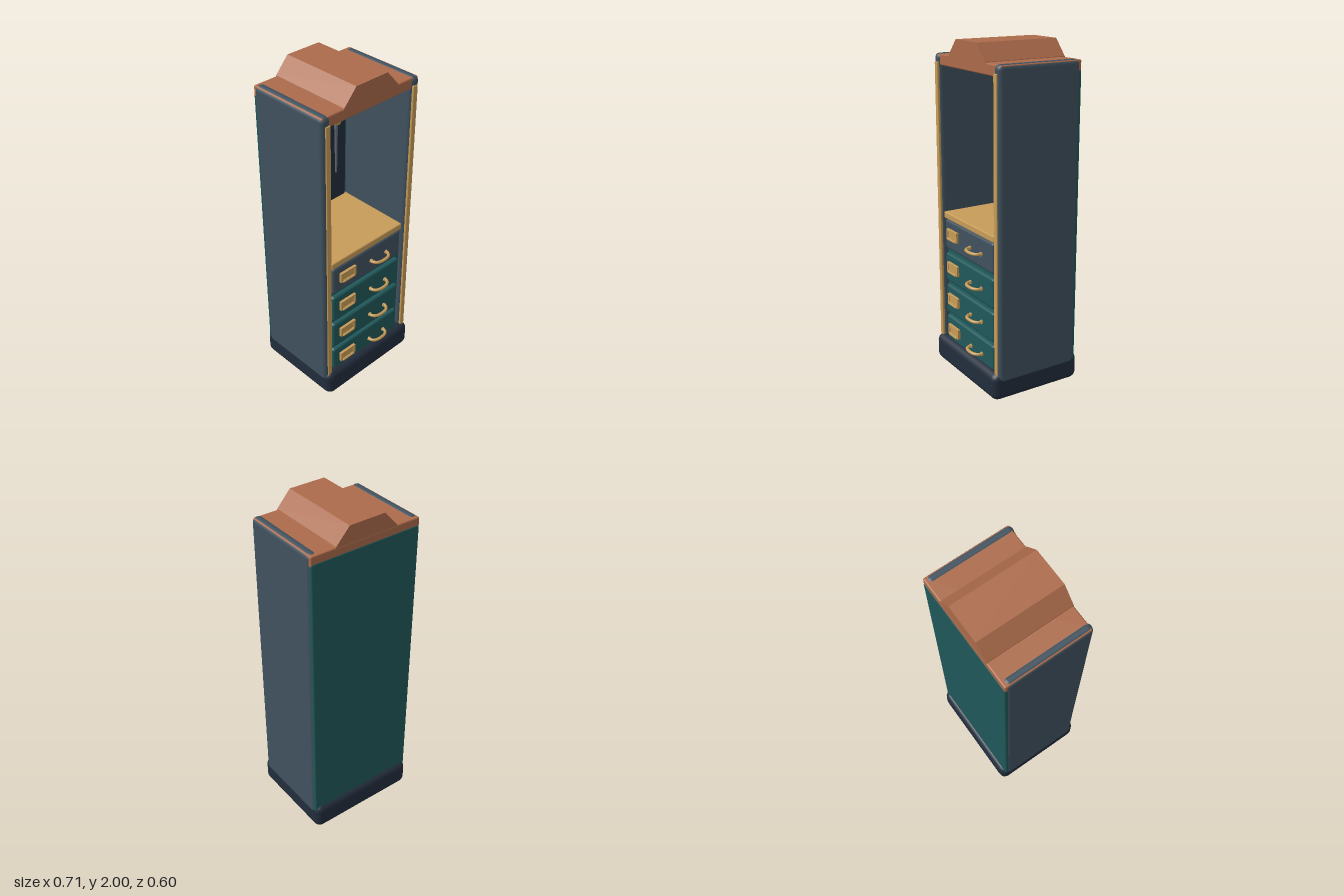
import * as THREE from 'three';
import { RoundedBoxGeometry } from 'three/addons/geometries/RoundedBoxGeometry.js';

const mat = (name, color) => {
  const m = new THREE.MeshStandardMaterial({ color });
  m.name = name;
  return m;
};

export function createModel() {
  const slate = mat('slate blue', 0x40525f);
  const teal = mat('teal', 0x20585a);
  const copper = mat('copper', 0xac6b4b);
  const brass = mat('brass', 0xc79c58);
  const navy = mat('navy', 0x222d3c);
  const steel = mat('steel', 0x5d6a74);

  const model = new THREE.Group();
  model.name = 'toolCabinet';

  const add = (parent, name, geometry, material, x = 0, y = 0, z = 0) => {
    const mesh = new THREE.Mesh(geometry, material);
    mesh.name = name;
    mesh.position.set(x, y, z);
    parent.add(mesh);
    return mesh;
  };
  // Rounded box given by its limits on each axis
  const block = (parent, name, material, [x0, x1], [y0, y1], [z0, z1], r, seg = 3) =>
    add(parent, name, new RoundedBoxGeometry(x1 - x0, y1 - y0, z1 - z0, seg, r), material,
      (x0 + x1) / 2, (y0 + y1) / 2, (z0 + z1) / 2);
  // Flat plate cut from an outline
  const plate = (points, depth, bevel = 0.004) => {
    const shape = new THREE.Shape(points.map(([x, y]) => new THREE.Vector2(x, y)));
    return new THREE.ExtrudeGeometry(shape, {
      depth, bevelEnabled: bevel > 0, bevelSize: bevel, bevelThickness: bevel, bevelSegments: 1, bevelOffset: -bevel,
    });
  };

  // Plinth and carcass
  block(model, 'plinth', navy, [-0.352, 0.352], [0, 0.168], [-0.303, 0.283], 0.045);
  block(model, 'backPanel', teal, [-0.348, 0.348], [0.1, 1.86], [-0.278, -0.245], 0.01);
  block(model, 'drawerCarcass', teal, [-0.3, 0.3], [0.1, 0.94], [-0.25, 0.215], 0.005, 1);
  for (const s of [-1, 1]) {
    const x = s * 0.324;
    block(model, 'sidePanel', slate, [x - 0.031, x + 0.031], [0.11, 1.908], [-0.268, 0.251], 0.028);
    block(model, 'frontTrim', brass, [s * 0.318 - 0.016, s * 0.318 + 0.016], [0.14, 1.86], [0.24, 0.257], 0.004, 1);
  }

  // Top slab and raised crown
  block(model, 'topSlab', copper, [-0.349, 0.349], [1.84, 1.904], [-0.275, 0.24], 0.008, 2);
  add(model, 'crown', plate([[-0.2, 1.895], [0.2, 1.895], [0.195, 1.908], [0.112, 2], [-0.112, 2], [-0.195, 1.908]], 0.514, 0),
    copper, 0, 0, -0.274);

  // Tool board and worktop
  block(model, 'toolBoard', navy, [-0.275, 0.267], [0.96, 1.762], [-0.247, -0.22], 0.008, 2);
  block(model, 'worktop', brass, [-0.285, 0.28], [0.934, 0.975], [-0.245, 0.243], 0.008, 2);

  // Drawers with label holder and bow handle
  [0.84, 0.63, 0.425, 0.222].forEach((y, i) => {
    const drawer = new THREE.Group();
    drawer.name = 'drawer' + (i + 1);
    drawer.position.y = y;
    model.add(drawer);
    block(drawer, 'drawerFront', i === 0 ? slate : teal, [-0.276, 0.272], [-0.092, 0.09], [0.2, 0.243], 0.016);

    const frame = new THREE.Shape([[-0.06, -0.031], [0.06, -0.031], [0.06, 0.031], [-0.06, 0.031]].map(p => new THREE.Vector2(...p)));
    frame.holes.push(new THREE.Path([[-0.045, -0.02], [-0.045, 0.02], [0.045, 0.02], [0.045, -0.02]].map(p => new THREE.Vector2(...p))));
    add(drawer, 'labelFrame', new THREE.ExtrudeGeometry(frame, { depth: 0.018, bevelEnabled: false }), brass, -0.17, 0.013, 0.241);
    block(drawer, 'labelPlate', brass, [-0.217, -0.123], [-0.009, 0.035], [0.24, 0.255], 0.003, 1);
    block(drawer, 'labelLip', brass, [-0.217, -0.123], [-0.02, -0.01], [0.25, 0.266], 0.003, 1);

    const bow = new THREE.CatmullRomCurve3([
      [0.025, 0.235], [0.026, 0.262], [0.045, 0.284], [0.086, 0.291], [0.127, 0.284], [0.148, 0.262], [0.149, 0.235],
    ].map(([x, z]) => new THREE.Vector3(x, -0.005, z)));
    add(drawer, 'handle', new THREE.TubeGeometry(bow, 28, 0.0095, 8), brass);
    for (const x of [0.025, 0.149]) {
      add(drawer, 'handleFoot', new THREE.CylinderGeometry(0.013, 0.013, 0.01, 10).rotateX(Math.PI / 2), brass, x, -0.005, 0.246);
    }
  });

  // Hanging pegs
  for (const x of [-0.162, 0.002, 0.148]) {
    add(model, 'peg', new THREE.CylinderGeometry(0.012, 0.012, 0.06, 8).rotateX(Math.PI / 2), brass, x, 1.752, -0.205);
    add(model, 'pegKnob', new THREE.SphereGeometry(0.021, 8, 6), brass, x, 1.752, -0.175);
  }

  // Open-ended wrench
  add(model, 'wrench', plate([
    [-0.187, 1.16], [-0.142, 1.16], [-0.139, 1.575], [-0.108, 1.6], [-0.092, 1.64], [-0.094, 1.685], [-0.114, 1.727],
    [-0.128, 1.69], [-0.132, 1.66], [-0.16, 1.645], [-0.186, 1.668], [-0.194, 1.715], [-0.22, 1.7], [-0.228, 1.65],
    [-0.215, 1.61], [-0.185, 1.58],
  ], 0.022), steel, 0, 0, -0.212);

  // Pliers: two mirrored halves on a pivot
  const pliers = new THREE.Group();
  pliers.name = 'pliers';
  model.add(pliers);
  const half = [
    [-0.006, 1.43], [0.018, 1.375], [0.037, 1.29], [0.034, 1.185], [0.075, 1.18], [0.078, 1.25], [0.062, 1.33], [0.038, 1.41],
    [0.022, 1.46], [0.034, 1.52], [0.047, 1.58], [0.04, 1.64], [0.008, 1.64], [0.017, 1.585], [0.01, 1.53], [-0.012, 1.47],
  ];
  add(pliers, 'rightHalf', plate(half, 0.02), copper, 0, 0, -0.212);
  add(pliers, 'leftHalf', plate(half.map(([x, y]) => [-x, y]).reverse(), 0.02), copper, 0, 0, -0.208);
  add(pliers, 'pivot', new THREE.CylinderGeometry(0.026, 0.026, 0.045, 12).rotateX(Math.PI / 2), brass, 0, 1.453, -0.195);

  // Screwdriver
  const screwdriver = new THREE.Group();
  screwdriver.name = 'screwdriver';
  screwdriver.position.set(0.156, 0, -0.185);
  model.add(screwdriver);
  const grip = [[0, 1.52], [0.026, 1.52], [0.036, 1.545], [0.04, 1.61], [0.036, 1.675], [0.024, 1.695], [0, 1.695]];
  const gripGeo = new THREE.LatheGeometry(grip.map(p => new THREE.Vector2(...p)), 8).toNonIndexed();
  gripGeo.computeVertexNormals();
  add(screwdriver, 'grip', gripGeo, brass);
  add(screwdriver, 'shaft', new THREE.CylinderGeometry(0.011, 0.006, 0.33, 8), steel, 0, 1.357, 0);

  return model;
}
